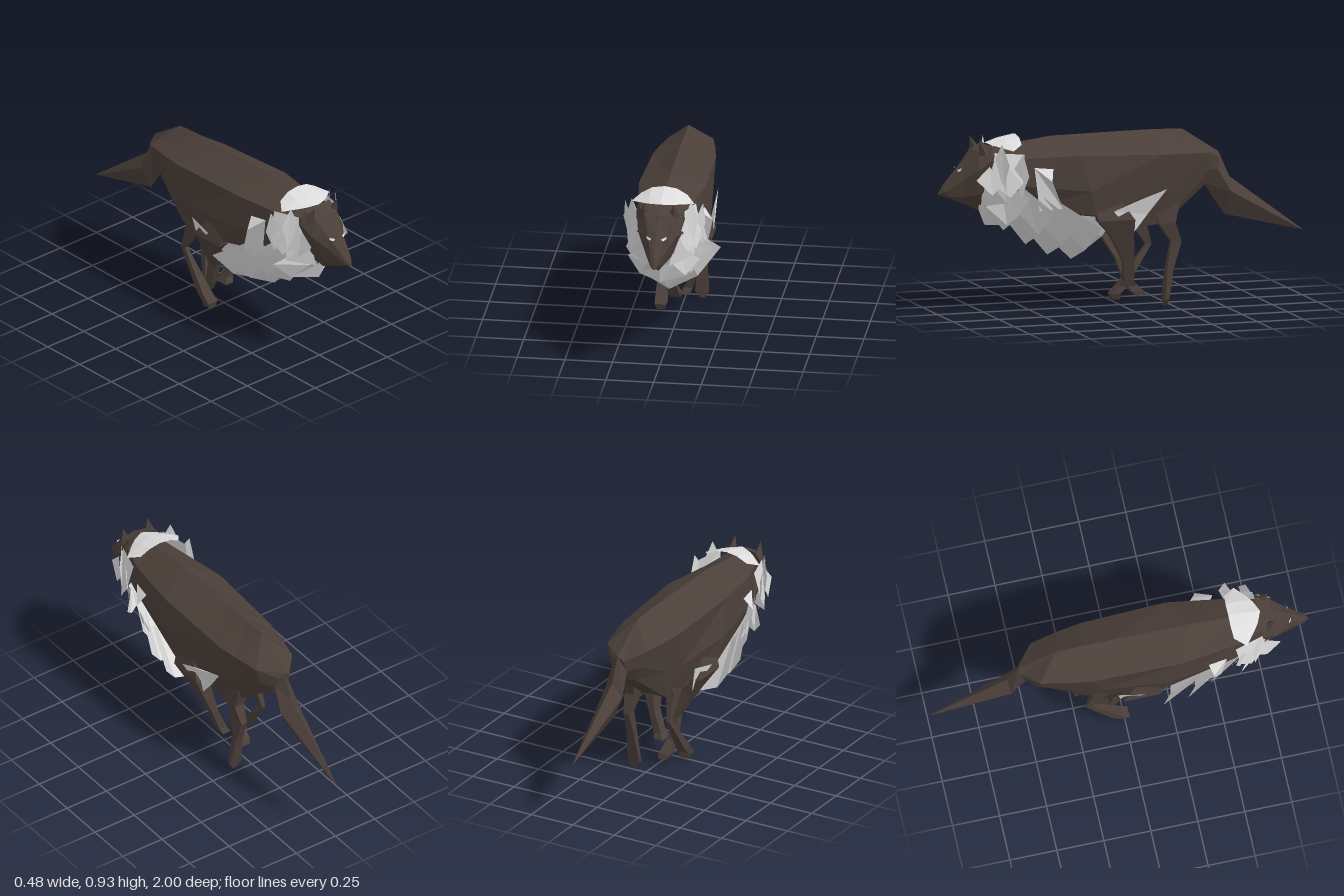
import * as THREE from 'three';

const mat = (name, color) => new THREE.MeshStandardMaterial({ name, color, flatShading: true, side: THREE.DoubleSide });

function build(points, index) {
  const g = new THREE.BufferGeometry();
  g.setAttribute('position', new THREE.Float32BufferAttribute(points.flat(), 3));
  g.setIndex(index);
  const flat = g.toNonIndexed();
  flat.computeVertexNormals();
  return flat;
}

// joins equal rows of points; closed rows form a capped tube
function loft(rows, closed = true) {
  const n = rows[0].length, index = [];
  for (let i = 0; i < rows.length - 1; i++) {
    for (let j = 0; j < (closed ? n : n - 1); j++) {
      const k = (j + 1) % n, a = i * n + j, b = i * n + k;
      index.push(a, b, a + n, b, b + n, a + n);
    }
  }
  if (closed) {
    const e = (rows.length - 1) * n;
    for (let j = 1; j < n - 1; j++) index.push(0, j + 1, j, e, e + j, e + j + 1);
  }
  return build(rows.flat(), index);
}

// flat polygon
function plate(points) {
  const index = [];
  for (let j = 1; j < points.length - 1; j++) index.push(0, j, j + 1);
  return build(points, index);
}

const flip = ([x, y, z]) => [-x, y, z];
// half section, top to bottom, mirrored into a full ring
const ring = (half) => [...half, ...half.slice(1, -1).reverse().map(flip)];
// half row, centre outward, mirrored into a full open row
const wings = (half) => [...half.slice(1).reverse().map(flip), ...half];

export function createModel() {
  const group = new THREE.Group();
  const fur = mat('dark brown fur', 0x4b3f39);
  const mane = mat('pale grey mane', 0xdcdcdc);
  const white = mat('white eye', 0xf2f0ee);
  const add = (name, geo, m) => {
    const mesh = new THREE.Mesh(geo, m);
    mesh.name = name;
    group.add(mesh);
    return mesh;
  };

  // body, neck to rump
  add('body', loft([
    [[0, .86, .82], [.07, .85, .8], [.1, .75, .8], [.07, .64, .78], [0, .6, .76]],
    [[0, .885, .62], [.13, .82, .6], [.15, .68, .58], [.1, .56, .56], [0, .53, .55]],
    [[0, .915, .38], [.175, .83, .28], [.195, .64, .22], [.175, .51, .19], [0, .47, .22]],
    [[0, .92, -.05], [.165, .81, -.18], [.145, .6, -.13], [.11, .43, -.1], [0, .43, -.12]],
    [[0, .92, -.2], [.145, .805, -.31], [.125, .62, -.27], [.1, .44, -.21], [0, .44, -.21]],
    [[0, .915, -.34], [.115, .8, -.45], [.095, .71, -.46], [.06, .62, -.44], [0, .61, -.43]],
    [[0, .785, -.54], [.03, .76, -.535], [.04, .7, -.52], [.035, .64, -.48], [0, .62, -.47]],
  ].map(ring)), fur);

  // tail
  add('tail', loft([
    [[0, .785, -.54], [.045, .7, -.52], [0, .62, -.46]],
    [[0, .65, -.6], [.058, .58, -.59], [0, .455, -.57]],
    [[0, .352, -1], [.003, .35, -1], [0, .348, -1]],
  ].map(ring)), fur);

  // head with pointed muzzle
  add('head', loft([
    [[0, .64, 1], [.004, .638, 1], [.004, .636, 1], [.003, .634, .995], [0, .632, .995]],
    [[0, .69, .97], [.02, .67, .975], [.025, .65, .97], [.02, .625, .95], [0, .61, .93]],
    [[0, .785, .885], [.045, .77, .88], [.058, .71, .88], [.045, .62, .86], [0, .585, .87]],
    [[0, .865, .81], [.075, .86, .8], [.108, .77, .81], [.06, .63, .82], [0, .555, .81]],
    [[0, .89, .74], [.085, .89, .73], [.122, .82, .74], [.085, .66, .75], [0, .54, .75]],
  ].map(ring)), fur);

  for (const s of [1, -1]) {
    const side = s > 0 ? 'left' : 'right';
    const m = (pts) => pts.map(([x, y, z]) => [s * x, y, z]);

    // ears
    const ear = add(side + 'Ear', new THREE.ConeGeometry(.03, .08, 4), fur);
    ear.position.set(s * .077, .886, .785);
    ear.rotation.set(.35, 0, 0);

    // eye slits
    add(side + 'Eye', plate(m([[.025, .766, .9], [.052, .778, .888], [.052, .764, .889], [.035, .757, .902]])), white);

    // mane plates beside the face and neck
    const plates = {
      FaceSpike: [[.155, .91, .7], [.19, .8, .67], [.165, .69, .69], [.11, .76, .75]],
      JawSpike: [[.13, .79, .76], [.125, .72, .83], [.15, .64, .75], [.165, .7, .7]],
      CheekPlate: [[.125, .86, .73], [.165, .85, .58], [.195, .7, .6], [.18, .63, .66], [.135, .7, .75]],
      NeckSpike: [[.205, .86, .6], [.213, .74, .57], [.18, .63, .6], [.155, .75, .65]],
      ShoulderPlate: [[.18, .78, .53], [.19, .77, .43], [.235, .71, .45], [.2, .56, .38], [.175, .55, .5]],
      ThroatPlate: [[.09, .74, .78], [.17, .74, .68], [.17, .6, .68], [.05, .57, .78]],
    };
    for (const [name, pts] of Object.entries(plates)) add(side + name, plate(m(pts)), mane);
  }

  // crown plate behind the ears
  add('crownPlate', loft([
    wings([[0, .898, .745], [.06, .89, .72], [.09, .885, .7]]),
    wings([[0, .92, .66], [.07, .91, .65], [.165, .87, .64]]),
    wings([[0, .935, .575], [.065, .925, .575], [.12, .895, .58]]),
  ], false), mane);

  // throat bib
  add('throatBib', loft([
    wings([[0, .58, .79], [.07, .57, .76], [.11, .62, .68]]),
    wings([[0, .465, .745], [.12, .475, .66], [.19, .55, .6]]),
  ], false), mane);

  // overlapping chest shells: front z, y, rear z, y, half width
  [
    [.75, .56, .64, .43, .17],
    [.68, .55, .52, .35, .21],
    [.58, .5, .4, .29, .24],
    [.48, .46, .27, .26, .24],
    [.36, .44, .17, .32, .18],
  ].forEach(([zf, yf, zr, yr, w], i) => {
    const row = (y, z, k, rise) => [-1, -.6, 0, .6, 1].map((x) => {
      const t = x * x;
      return [x * w * k, y + rise * t, z - .09 * t];
    });
    add('chestShell' + (i + 1), loft([row(yf, zf, .75, .13), row(yr, zr, 1, .19)], false), mane);
  });

  // elbow tufts
  add('leftElbowTuft', plate([[.195, .53, .1], [.178, .58, -.05], [.175, .63, -.2], [.15, .5, -.1], [.15, .4, -.02]]), mane);
  add('rightElbowTuft', plate([[-.195, .53, .1], [-.178, .56, -.05], [-.15, .42, -.03]]), mane);

  // legs: x, y, z, half width, half depth
  const legs = {
    leftFrontLeg: [[.12, .58, .12, .04, .07], [.145, .48, .08, .045, .1], [.125, .39, .035, .03, .06],
      [.085, .25, -.015, .018, .03], [.045, .14, -.03, .022, .025], [.03, .11, -.03, .025, .04]],
    rightFrontLeg: [[-.12, .58, .12, .04, .07], [-.145, .48, .08, .045, .1], [-.11, .39, .035, .03, .06],
      [-.05, .25, -.015, .017, .03], [-.045, .13, -.05, .022, .02], [-.04, .07, -.1, .03, .035], [-.035, .045, -.12, .025, .025]],
    leftHindLeg: [[.08, .54, -.22, .03, .07], [.09, .44, -.22, .03, .045], [.088, .34, -.275, .016, .028],
      [.088, .2, -.24, .022, .018], [.087, .04, -.218, .036, .01], [.09, .005, -.215, .012, .006]],
    rightHindLeg: [[-.08, .54, -.13, .03, .07], [-.095, .44, -.12, .022, .045], [-.107, .3, -.19, .009, .016],
      [-.1, .09, -.04, .03, .025], [-.097, .05, 0, .032, .025], [-.097, .02, -.005, .02, .022]],
  };
  for (const [name, path] of Object.entries(legs)) {
    add(name, loft(path.map(([x, y, z, w, d]) => [[1, 1], [-1, 1], [-1, -1], [1, -1]]
      .map(([a, b]) => [x + a * w, y, z + b * d]))), fur);
  }
  return group;
}
